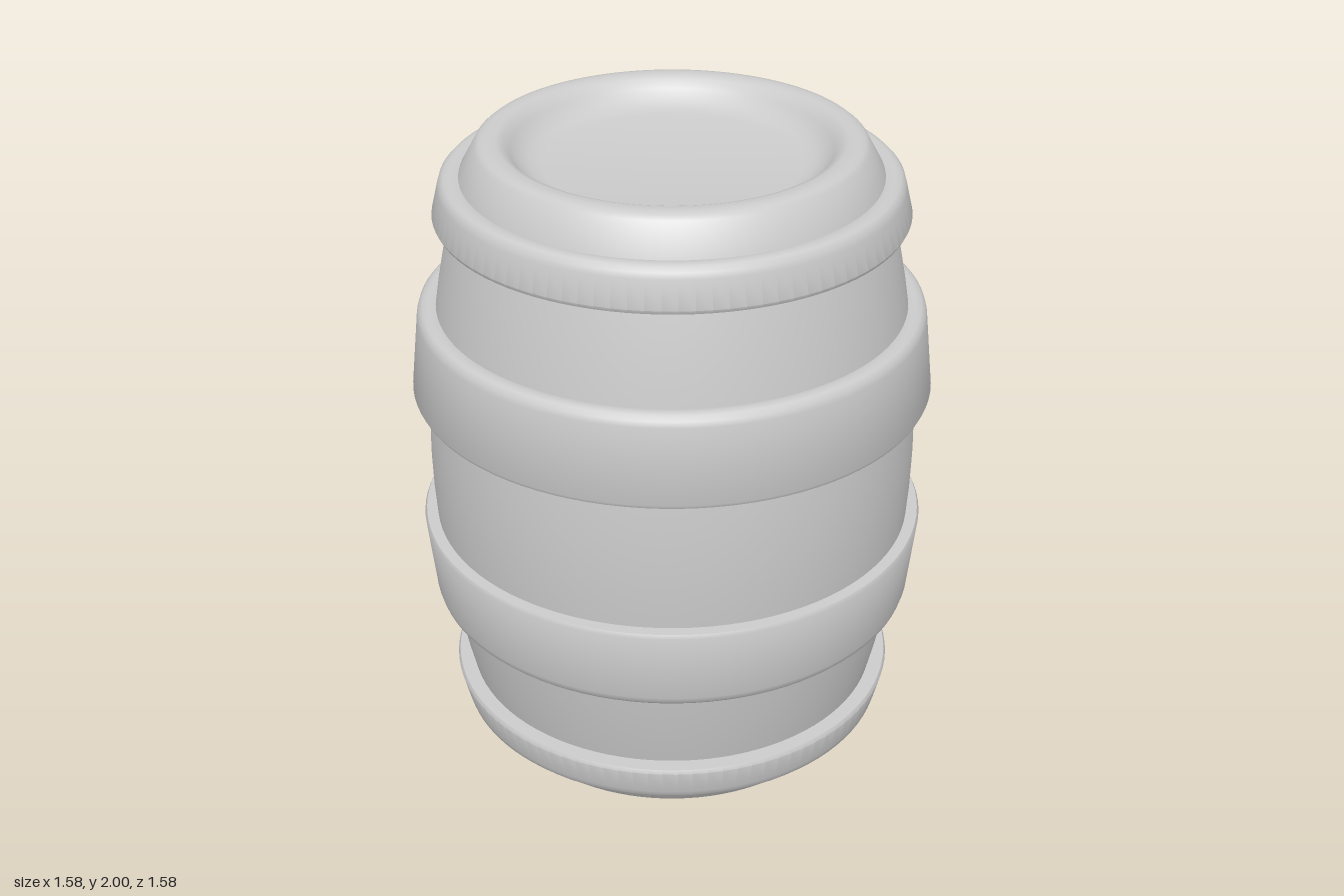
import * as THREE from 'three';
import { toCreasedNormals } from 'three/addons/utils/BufferGeometryUtils.js';

const material = new THREE.MeshStandardMaterial({ color: 0xcccccc });

// Revolves an [r, y] profile; outer surfaces run upwards
function turned(name, profile) {
  const points = profile.map(([r, y]) => new THREE.Vector2(r, y));
  const geometry = toCreasedNormals(new THREE.LatheGeometry(points, 96), 0.7);
  const mesh = new THREE.Mesh(geometry, material);
  mesh.name = name;
  return mesh;
}

// Mirrors a profile between top and bottom, keeping its direction outward
const flipped = (profile) => profile.map(([r, y]) => [r, 2 - y]).reverse();

// Closed hoop: sharp edge at the wide low end, rounded shoulder at the top
function hoop(y0, y1, rLow, rTop, innerLow, innerTop) {
  const b = 0.035;
  return [
    [innerTop, y1 - 0.01], [innerLow, y0], [rLow - 0.006, y0], [rLow, y0 + 0.012],
    [rTop, y1 - b], [rTop - b * 0.15, y1 - b * 0.5], [rTop - b * 0.5, y1 - b * 0.13],
    [rTop - b, y1], [innerTop, y1 - 0.01],
  ];
}

export function createModel() {
  const group = new THREE.Group();
  group.name = 'barrel';

  // Rounded rim and dished lid, from the shoulder to the middle
  const end = [
    [0.62, 1.9], [0.573, 1.985], [0.56, 1.996], [0.54, 2], [0.51, 2], [0.49, 1.992],
    [0.47, 1.968], [0.445, 1.942], [0.415, 1.925], [0.38, 1.918], [0, 1.918],
  ];

  // Bulging staves
  const staves = [];
  for (let i = 1; i < 16; i++) {
    const y = 0.1 + (1.8 * i) / 16;
    staves.push([0.75 - 0.13 * Math.pow(Math.abs(y - 1) / 0.9, 1.9), y]);
  }
  group.add(turned('body', [...flipped(end), ...staves, ...end]));

  // Hoops, the lower pair facing the other way
  const endHoop = hoop(1.77, 1.9, 0.705, 0.685, 0.64, 0.615);
  group.add(turned('topHoop', endHoop));
  group.add(turned('bottomHoop', flipped(endHoop)));
  group.add(turned('upperHoop', hoop(1.217, 1.495, 0.792, 0.767, 0.73, 0.7)));
  group.add(turned('lowerHoop', flipped(hoop(1.215, 1.49, 0.782, 0.758, 0.73, 0.7))));
  return group;
}
